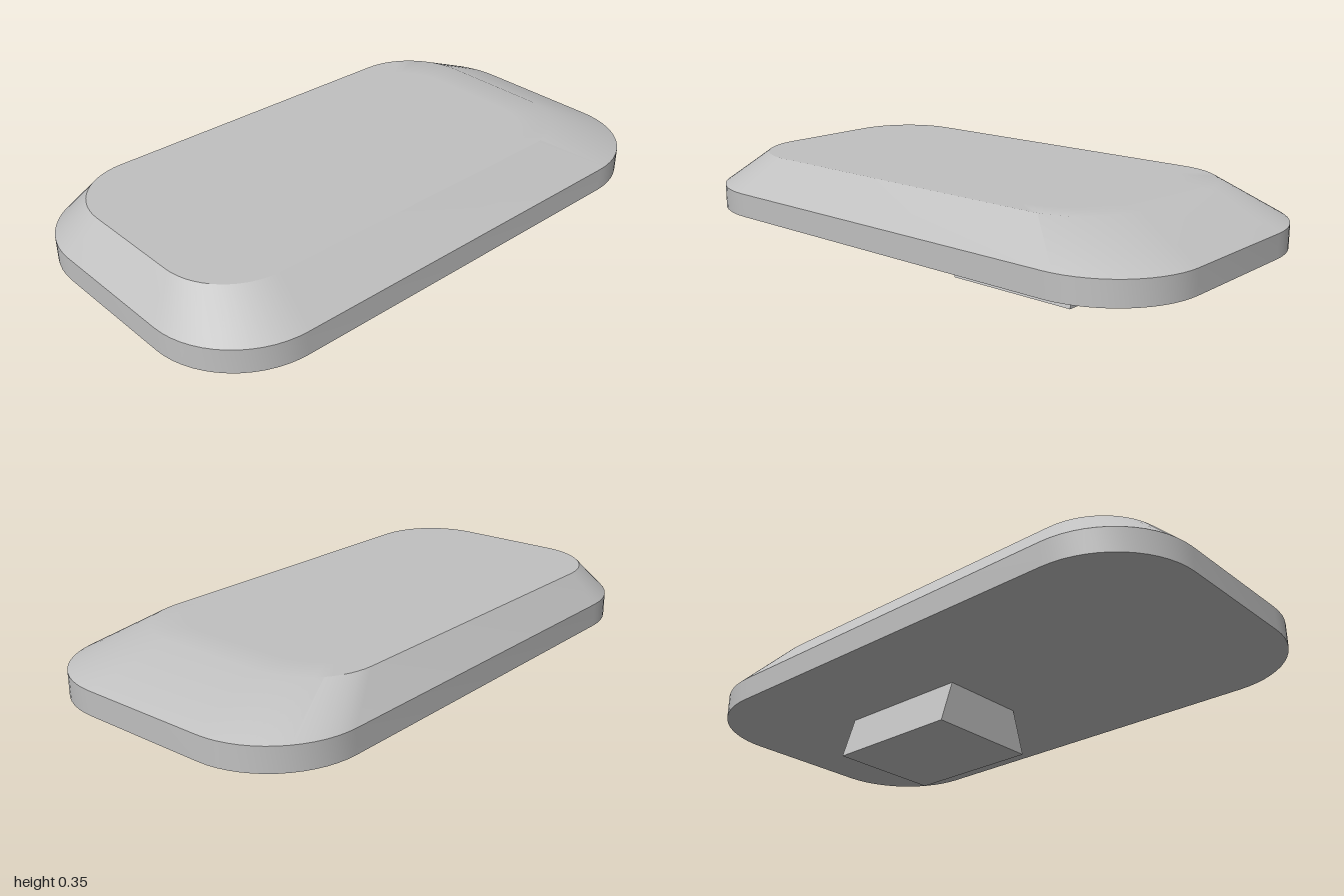
import * as THREE from 'three';
import { toCreasedNormals } from 'three/addons/utils/BufferGeometryUtils.js';

const CORNER_STEPS = 14;

// Rounded rectangle at height y, running from +x towards +z; scale shrinks it about its centre
function ring(y, x0, x1, z0, z1, r, scale = 1) {
  const cx = (x0 + x1) / 2, cz = (z0 + z1) / 2;
  const centres = [[x1 - r, z1 - r], [x0 + r, z1 - r], [x0 + r, z0 + r], [x1 - r, z0 + r]];
  const points = [];
  centres.forEach(([px, pz], corner) => {
    for (let i = 0; i <= CORNER_STEPS; i++) {
      const a = (corner + i / CORNER_STEPS) * Math.PI / 2;
      points.push(new THREE.Vector3(
        cx + (px + r * Math.cos(a) - cx) * scale, y,
        cz + (pz + r * Math.sin(a) - cz) * scale));
    }
  });
  return points;
}

// Skin a stack of matching rings, leaving out collapsed triangles
function loft(rings) {
  const positions = [];
  const triangle = (a, b, c) => {
    if (new THREE.Triangle(a, b, c).getArea() < 1e-8) return;
    for (const p of [a, b, c]) positions.push(p.x, p.y, p.z);
  };
  for (let k = 0; k + 1 < rings.length; k++) {
    const low = rings[k], high = rings[k + 1];
    for (let i = 0; i < low.length; i++) {
      const j = (i + 1) % low.length;
      triangle(low[i], high[i], high[j]);
      triangle(low[i], high[j], low[j]);
    }
  }
  const geometry = new THREE.BufferGeometry();
  geometry.setAttribute('position', new THREE.Float32BufferAttribute(positions, 3));
  return toCreasedNormals(geometry, THREE.MathUtils.degToRad(30));
}

export function createModel() {
  const model = new THREE.Group();
  const grey = new THREE.MeshStandardMaterial({ color: 0xc0c0c0 });
  grey.name = 'light grey';

  // Cap: straight rim, then a bevel to a smaller, off-centre top
  const base = [-0.553, 0.553, -1, 1, 0.315];
  const top = [-0.465, 0.392, -0.75, 0.89, 0.24];
  const cap = new THREE.Mesh(loft([
    ring(0.157, ...base, 0),
    ring(0.157, ...base),
    ring(0.241, ...base),
    ring(0.35, ...top),
    ring(0.35, ...top, 0.85),
    ring(0.35, ...top, 0),
  ]), grey);
  cap.name = 'cap';
  model.add(cap);

  // Stem: wedge-sided block that widens towards its foot
  const profile = new THREE.Shape([
    new THREE.Vector2(-0.213, 0), new THREE.Vector2(0.213, 0),
    new THREE.Vector2(0.163, 0.157), new THREE.Vector2(-0.163, 0.157),
  ]);
  const stem = new THREE.Mesh(
    new THREE.ExtrudeGeometry(profile, { depth: 0.5, bevelEnabled: false }), grey);
  stem.position.z = -0.53;
  stem.name = 'stem';
  model.add(stem);

  return model;
}
